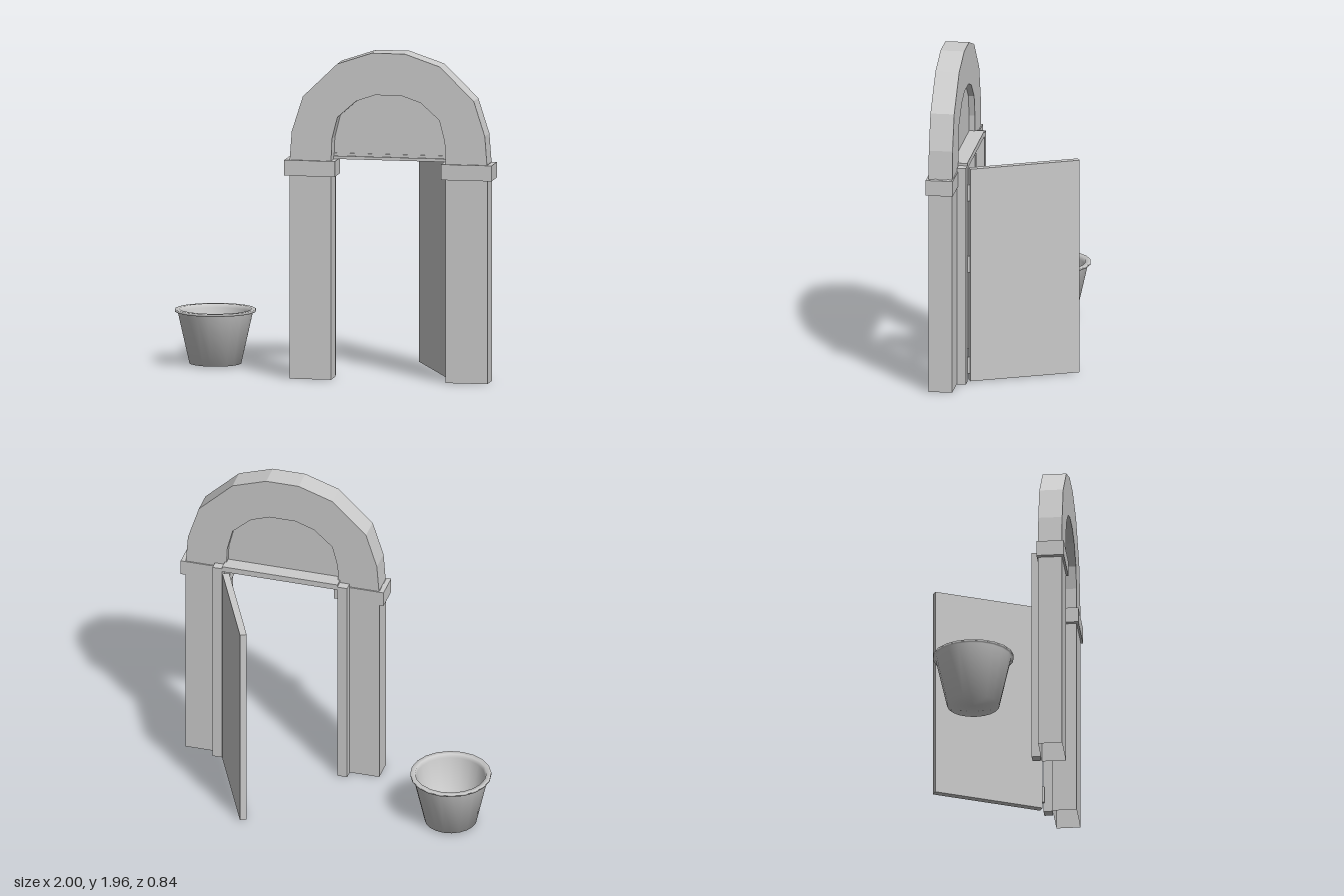
import * as THREE from 'three';

const CX = 0.375; // centre of the gateway
const grey = new THREE.MeshStandardMaterial({ color: 0xcccccc, side: THREE.DoubleSide });

function add(parent, name, geometry, x = 0, y = 0, z = 0) {
  const mesh = new THREE.Mesh(geometry, grey);
  mesh.name = name;
  mesh.position.set(x, y, z);
  parent.add(mesh);
  return mesh;
}

// box given by its minimum and maximum corners
function block(parent, name, [x0, y0, z0], [x1, y1, z1], openBottom = false) {
  const g = new THREE.BoxGeometry(x1 - x0, y1 - y0, z1 - z0);
  if (openBottom) {
    const index = Array.from(g.index.array);
    index.splice(18, 6);
    g.setIndex(index);
    g.clearGroups();
  }
  return add(parent, name, g, (x0 + x1) / 2, (y0 + y1) / 2, (z0 + z1) / 2);
}

// half curve given as [offset from centre, height], mirrored into a full arc
function arc(half) {
  const right = half.map(([dx, y]) => new THREE.Vector2(CX + dx, y));
  const left = half.map(([dx, y]) => new THREE.Vector2(CX - dx, y)).reverse();
  return [...right, ...left];
}

function extrude(points, z0, z1) {
  const g = new THREE.ExtrudeGeometry(new THREE.Shape(points), { depth: z1 - z0, bevelEnabled: false });
  return g.translate(0, 0, z0);
}

export function createModel() {
  const model = new THREE.Group();
  const gate = new THREE.Group();
  gate.name = 'gateway';
  model.add(gate);

  // hollow pillars, capitals and door jambs on both sides
  for (const s of [-1, 1]) {
    const side = s > 0 ? 'left' : 'right';
    const span = (a, b) => [CX + s * a, CX + s * b].sort((p, q) => p - q);
    const [p0, p1] = span(0.345, 0.597);
    block(gate, side + 'Pillar', [p0, 0, 0.265], [p1, 1.31, 0.407], true);
    const [c0, c1] = span(0.32, 0.625);
    block(gate, side + 'Capital', [c0, 1.215, 0.258], [c1, 1.308, 0.42]);
    const [j0, j1] = span(0.355, 0.415);
    block(gate, side + 'Jamb', [j0, 0, 0.21], [j1, 1.33, 0.262]);
  }

  // faceted arch and the panel filling it
  const outer = arc([[0.595, 1.31], [0.582, 1.48], [0.515, 1.69], [0.308, 1.89], [0.1, 1.96]]);
  const inner = arc([[0.345, 1.31], [0.34, 1.44], [0.307, 1.57], [0.195, 1.67], [0.08, 1.71]]);
  add(gate, 'arch', extrude([...outer, ...inner.slice().reverse()], 0.265, 0.407));
  add(gate, 'archPanel', extrude(inner, 0.3, 0.315));

  // lintel under the panel, with a thin front step
  block(gate, 'lintel', [0.02, 1.31, 0.21], [0.73, 1.345, 0.32]);
  block(gate, 'lintelStep', [0.03, 1.31, 0.32], [0.72, 1.328, 0.33]);

  // door standing open on its hinges
  const door = new THREE.Group();
  door.name = 'door';
  door.position.set(0.705, 0, 0.2);
  door.rotation.y = Math.atan2(0.61, -0.285);
  gate.add(door);
  block(door, 'doorLeaf', [0, 0.003, -0.02], [0.675, 1.308, 0.02]);
  for (const y of [0.1, 0.72, 1.16]) {
    add(gate, 'hinge', new THREE.CylinderGeometry(0.01, 0.01, 0.1, 8), 0.712, y, 0.207);
  }

  // tapered bucket with a flat lip
  const profile = [[0, 0.01], [0.155, 0.01], [0.225, 0.32], [0.24, 0.32], [0.24, 0.334],
    [0.212, 0.334], [0.205, 0.31], [0.14, 0.03], [0, 0.03]].map(([r, y]) => new THREE.Vector2(r, y));
  add(model, 'bucket', new THREE.LatheGeometry(profile, 20), -0.76, 0, -0.07);

  return model;
}
